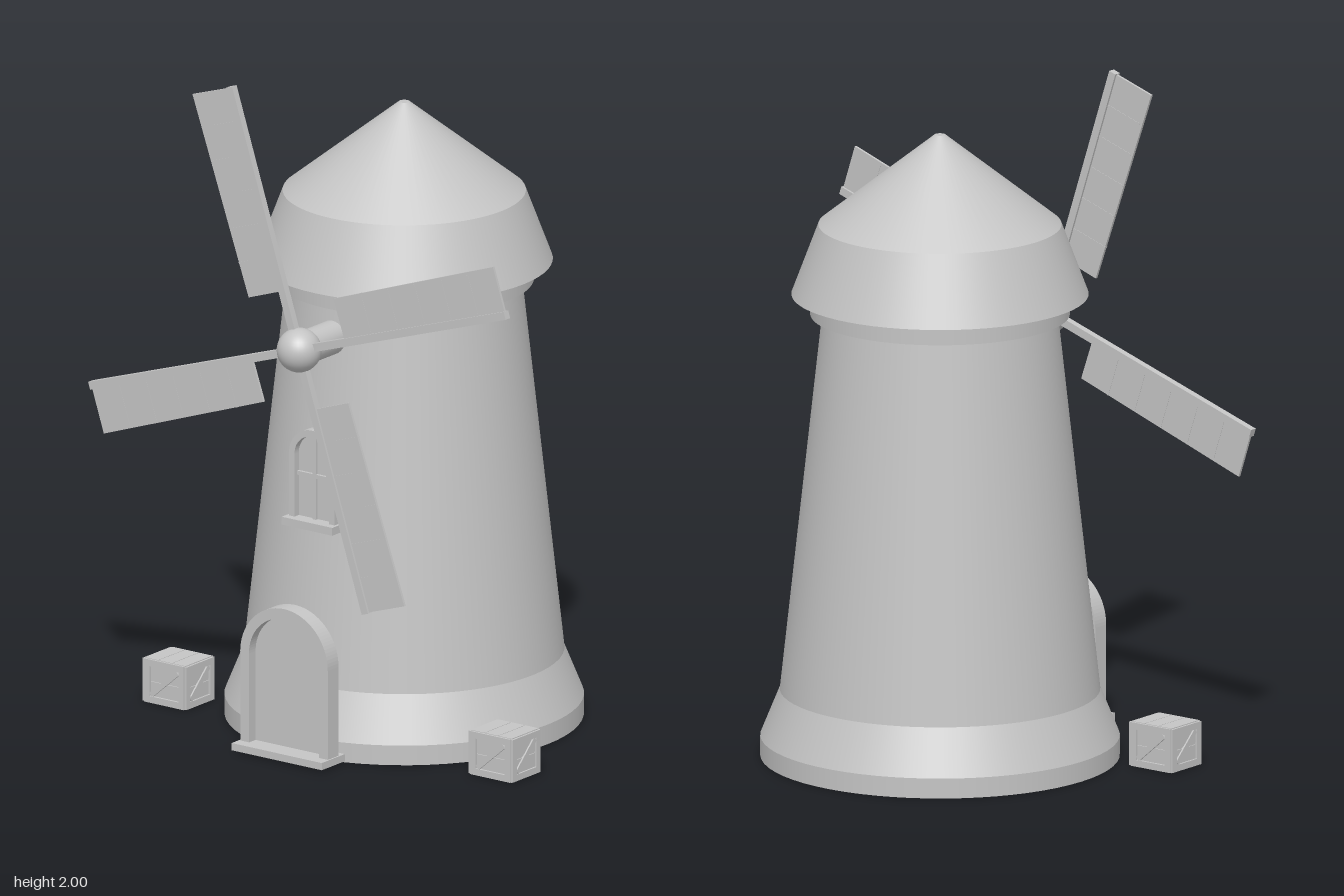
import * as THREE from 'three';

const stone = new THREE.MeshStandardMaterial({ color: 0xc4c4c4 });
stone.name = 'plainGrey';

function add(parent, name, geometry, x = 0, y = 0, z = 0) {
  const mesh = new THREE.Mesh(geometry, stone);
  mesh.name = name;
  mesh.position.set(x, y, z);
  parent.add(mesh);
  return mesh;
}

function group(parent, name, x = 0, y = 0, z = 0) {
  const g = new THREE.Group();
  g.name = name;
  g.position.set(x, y, z);
  parent.add(g);
  return g;
}

const box = (w, h, d) => new THREE.BoxGeometry(w, h, d);

// Cone slice between two heights
function slice(parent, name, y0, r0, y1, r1, open = false) {
  return add(parent, name, new THREE.CylinderGeometry(r1, r0, y1 - y0, 64, 1, open), 0, (y0 + y1) / 2, 0);
}

// Upright shape with a round top, centred on x
function archShape(r, bottom, spring) {
  const s = new THREE.Shape();
  s.moveTo(-r, bottom);
  s.lineTo(r, bottom);
  s.lineTo(r, spring);
  s.absarc(0, spring, r, 0, Math.PI, false);
  s.closePath();
  return s;
}

// Half ring standing on its two ends
function archRing(outer, inner, depth) {
  const s = new THREE.Shape();
  s.moveTo(outer, 0);
  s.absarc(0, 0, outer, 0, Math.PI, false);
  s.lineTo(-inner, 0);
  s.absarc(0, 0, inner, Math.PI, 0, true);
  s.closePath();
  return new THREE.ExtrudeGeometry(s, { depth, bevelEnabled: false, curveSegments: 24 });
}

// Arched frame with posts, a recessed panel and a ledge below
function archedOpening(parent, name, o) {
  const g = group(parent, name);
  const depth = o.front - o.back;
  add(g, name + 'Arch', archRing(o.outer, o.inner, depth), 0, o.spring, o.back);
  for (const side of [-1, 1]) {
    add(g, name + 'Post', box(o.outer - o.inner, o.spring - o.bottom, depth * 0.96),
      side * (o.outer + o.inner) / 2, (o.spring + o.bottom) / 2, (o.front + o.back) / 2);
  }
  add(g, name + 'Panel', new THREE.ExtrudeGeometry(archShape(o.inner + 0.004, o.bottom, o.spring),
    { depth: depth * 0.35, bevelEnabled: false, curveSegments: 24 }), 0, 0, o.back + 0.002);
  add(g, name + 'Ledge', box(o.ledgeWidth, o.ledgeTop - o.ledgeBottom, o.ledgeFront - o.ledgeBack),
    0, (o.ledgeTop + o.ledgeBottom) / 2, (o.ledgeFront + o.ledgeBack) / 2);
  return g;
}

// Rectangular frame and diagonal brace on one crate face
function crateFace(parent, w, h, angle, dist) {
  const face = group(parent, 'crateFace');
  face.rotation.y = angle;
  const t = 0.02;
  for (const s of [-1, 1]) {
    add(face, 'crateRail', box(w, t, 0.008), 0, s * (h - t) / 2, dist);
    add(face, 'crateStile', box(t, h - 2 * t, 0.008), s * (w - t) / 2, 0, dist);
  }
  const iw = w - 2 * t, ih = h - 2 * t;
  const brace = add(face, 'crateBrace', box(Math.hypot(iw, ih) - 0.012, 0.016, 0.006), 0, 0, dist);
  brace.rotation.z = Math.atan2(ih, iw);
}

function crate(parent, x) {
  const c = group(parent, 'crate', x, 0.067, 0.257);
  add(c, 'crateCore', box(0.144, 0.118, 0.118));
  // Planks wrapping the sides and lid
  for (const s of [-1, 1]) {
    add(c, 'sidePlank', box(0.15, 0.06, 0.126), 0, s * 0.033, 0);
  }
  for (let i = -1; i <= 1; i++) {
    for (const s of [-1, 1]) add(c, 'lidPlank', box(0.048, 0.006, 0.128), i * 0.05, s * 0.0645, 0);
  }
  for (const s of [0, 1]) {
    crateFace(c, 0.146, 0.132, s * Math.PI, 0.067);
    crateFace(c, 0.136, 0.13, Math.PI / 2 + s * Math.PI, 0.077);
  }
}

// One arm of the wheel, pointing along +x with its sail above
function sailArm(parent, angle) {
  const arm = group(parent, 'sailArm');
  arm.rotation.z = angle;
  add(arm, 'spar', box(0.8, 0.024, 0.022), 0.4, 0, 0);
  const s = new THREE.Shape();
  s.moveTo(0.18, 0.008);
  s.lineTo(0.797, 0.008);
  s.lineTo(0.797, 0.147);
  s.lineTo(0.178, 0.133);
  s.closePath();
  add(arm, 'sail', new THREE.ExtrudeGeometry(s, { depth: 0.008, bevelEnabled: false }), 0, 0, -0.004);
  for (let i = 1; i < 6; i++) {
    add(arm, 'sailBatten', box(0.005, 0.126, 0.01), 0.18 + i * 0.103, 0.073, 0);
  }
}

export function createModel() {
  const model = new THREE.Group();
  model.name = 'windmill';

  // Tower and cap
  const tower = group(model, 'tower', 0, 0, -0.048);
  slice(tower, 'towerFoot', 0, 0.526, 0.06, 0.526);
  slice(tower, 'towerFlare', 0.06, 0.526, 0.2, 0.469, true);
  slice(tower, 'towerWall', 0.2, 0.469, 1.34, 0.344, true);
  slice(tower, 'capRing', 1.33, 0.38, 1.395, 0.38);
  slice(tower, 'roofSkirt', 1.39, 0.435, 1.6, 0.356);
  slice(tower, 'roofCone', 1.6, 0.356, 1.87, 0.016);

  // Door
  archedOpening(model, 'door', {
    outer: 0.16, inner: 0.128, bottom: 0.02, spring: 0.3, back: 0.484, front: 0.537,
    ledgeWidth: 0.33, ledgeBottom: 0.006, ledgeTop: 0.028, ledgeBack: 0.46, ledgeFront: 0.572,
  });

  // Window with glazing bars
  const win = archedOpening(model, 'window', {
    outer: 0.083, inner: 0.063, bottom: 0.695, spring: 0.89, back: 0.366, front: 0.402,
    ledgeWidth: 0.185, ledgeBottom: 0.674, ledgeTop: 0.698, ledgeBack: 0.36, ledgeFront: 0.425,
  });
  add(win, 'windowUpright', box(0.012, 0.25, 0.012), 0, 0.823, 0.384);
  add(win, 'windowCrossbar', box(0.126, 0.012, 0.012), 0, 0.83, 0.384);

  // Axle, hub and four sails
  const wheel = group(model, 'sailWheel', 0, 1.235, 0.463);
  add(wheel, 'hub', new THREE.SphereGeometry(0.066, 32, 20));
  add(wheel, 'axle', new THREE.CylinderGeometry(0.05, 0.05, 0.25, 32), 0, 0, -0.145).rotation.x = Math.PI / 2;
  for (let i = 0; i < 4; i++) sailArm(wheel, 0.316 + i * Math.PI / 2);

  // Crates on both sides
  for (const side of [-1, 1]) crate(model, side * 0.597);

  return model;
}
